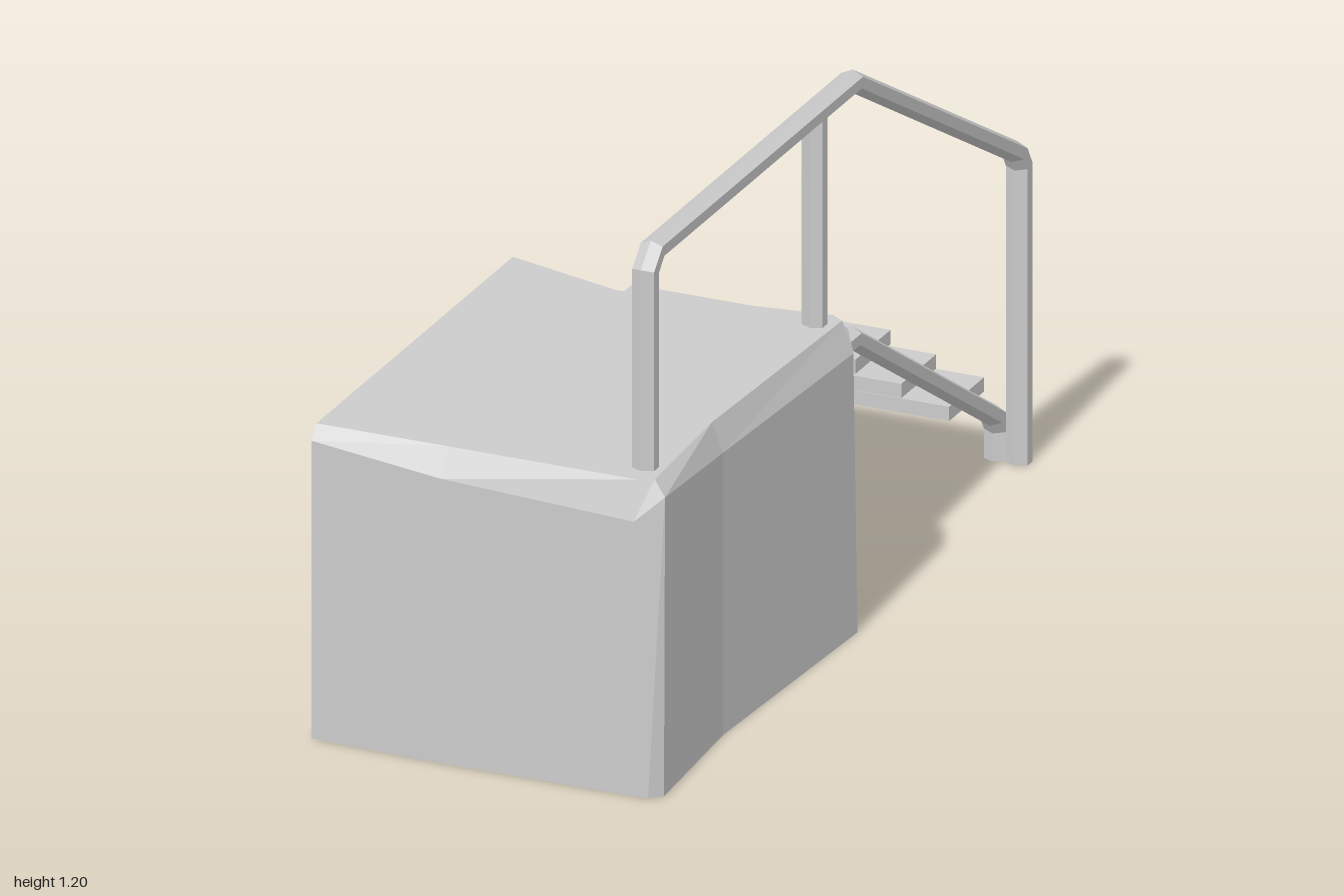
import * as THREE from 'three';

const material = new THREE.MeshStandardMaterial({ color: 0xcccccc, flatShading: true });

// Faceted skin over rings of points, closed at both ends
function loft(rings) {
  const pos = [];
  const tri = (a, b, c) => pos.push(...a, ...b, ...c);
  const n = rings[0].length;
  const last = rings[rings.length - 1];
  for (let i = 0; i < rings.length - 1; i++) {
    for (let j = 0; j < n; j++) {
      const k = (j + 1) % n;
      const [a, b, c, d] = [rings[i][j], rings[i][k], rings[i + 1][k], rings[i + 1][j]];
      tri(a, b, c);
      tri(a, c, d);
    }
  }
  for (let j = 1; j < n - 1; j++) {
    tri(rings[0][0], rings[0][j + 1], rings[0][j]);
    tri(last[0], last[j], last[j + 1]);
  }
  const g = new THREE.BufferGeometry();
  g.setAttribute('position', new THREE.Float32BufferAttribute(pos, 3));
  g.computeVertexNormals();
  return g;
}

// Six-sided bar section: flat cheeks with shallow ridges
const section = [[0, -0.023], [0.025, -0.012], [0.025, 0.012], [0, 0.023], [-0.025, 0.012], [-0.025, -0.012]];

// Bar swept with mitred corners along [z, y] points in the plane of x
function bar(x, path, width = 1) {
  const pts = path.map(([z, y]) => new THREE.Vector2(z, y));
  const rings = pts.map((p, i) => {
    const before = p.clone().sub(pts[Math.max(i - 1, 0)]).normalize();
    const after = pts[Math.min(i + 1, pts.length - 1)].clone().sub(p).normalize();
    const dir = before.clone().add(after).normalize();
    const stretch = 1 / Math.max(dir.dot(i ? before : after), 0.5);
    return section.map(([u, v]) => [x + u * width, p.y + v * dir.x * stretch, p.x - v * dir.y * stretch]);
  });
  return loft(rings);
}

export function createModel() {
  const group = new THREE.Group();
  const add = (name, geometry) => {
    const mesh = new THREE.Mesh(geometry, material);
    mesh.name = name;
    group.add(mesh);
    return mesh;
  };

  // Platform: worn block with uneven bevels, rings at floor, bevel and top
  add('platform', loft([
    [[-0.4, 0, 0.99], [-0.1, 0, 1], [0.37, 0, 0.995], [0.395, 0, 0.97], [0.37, 0, 0.62],
      [0.395, 0, 0], [0.37, 0, -0.03], [-0.13, 0, -0.03], [-0.4, 0, -0.03]],
    [[-0.4, 0.67, 0.99], [-0.1, 0.64, 1], [0.335, 0.615, 0.99], [0.395, 0.67, 0.965], [0.37, 0.635, 0.62],
      [0.395, 0.635, 0.02], [0.36, 0.665, -0.03], [-0.13, 0.64, -0.03], [-0.4, 0.67, -0.03]],
    [[-0.4, 0.7, 0.965], [-0.1, 0.7, 0.965], [0.33, 0.7, 0.965], [0.365, 0.7, 0.95], [0.345, 0.7, 0.62],
      [0.365, 0.7, 0.01], [0.335, 0.7, -0.01], [-0.13, 0.7, 0.055], [-0.4, 0.7, -0.02]],
  ]));

  // Handrail with its middle post
  add('handrail', bar(0.32, [[0.898, 0.68], [0.898, 1.142], [0.862, 1.177], [-0.135, 1.177],
    [-0.955, 0.705], [-0.976, 0.67], [-0.976, 0]]));
  add('handrailPost', bar(0.32, [[0.05, 0.68], [0.05, 1.17]], 0.96));

  // Stair side rails
  for (const [name, x] of [['leftStringer', 0.27], ['rightStringer', -0.355]]) {
    add(name, bar(x, [[-0.02, 0.552], [-0.238, 0.552], [-0.955, 0.103], [-0.976, 0.07], [-0.976, 0]]));
  }

  // Treads
  for (let i = 0; i < 4; i++) {
    const tread = add('tread' + (i + 1), new THREE.BoxGeometry(0.59, 0.032, 0.175));
    tread.position.set(-0.043, [0.172, 0.315, 0.457, 0.555][i], [-0.862, -0.622, -0.393, -0.133][i]);
  }
  return group;
}
